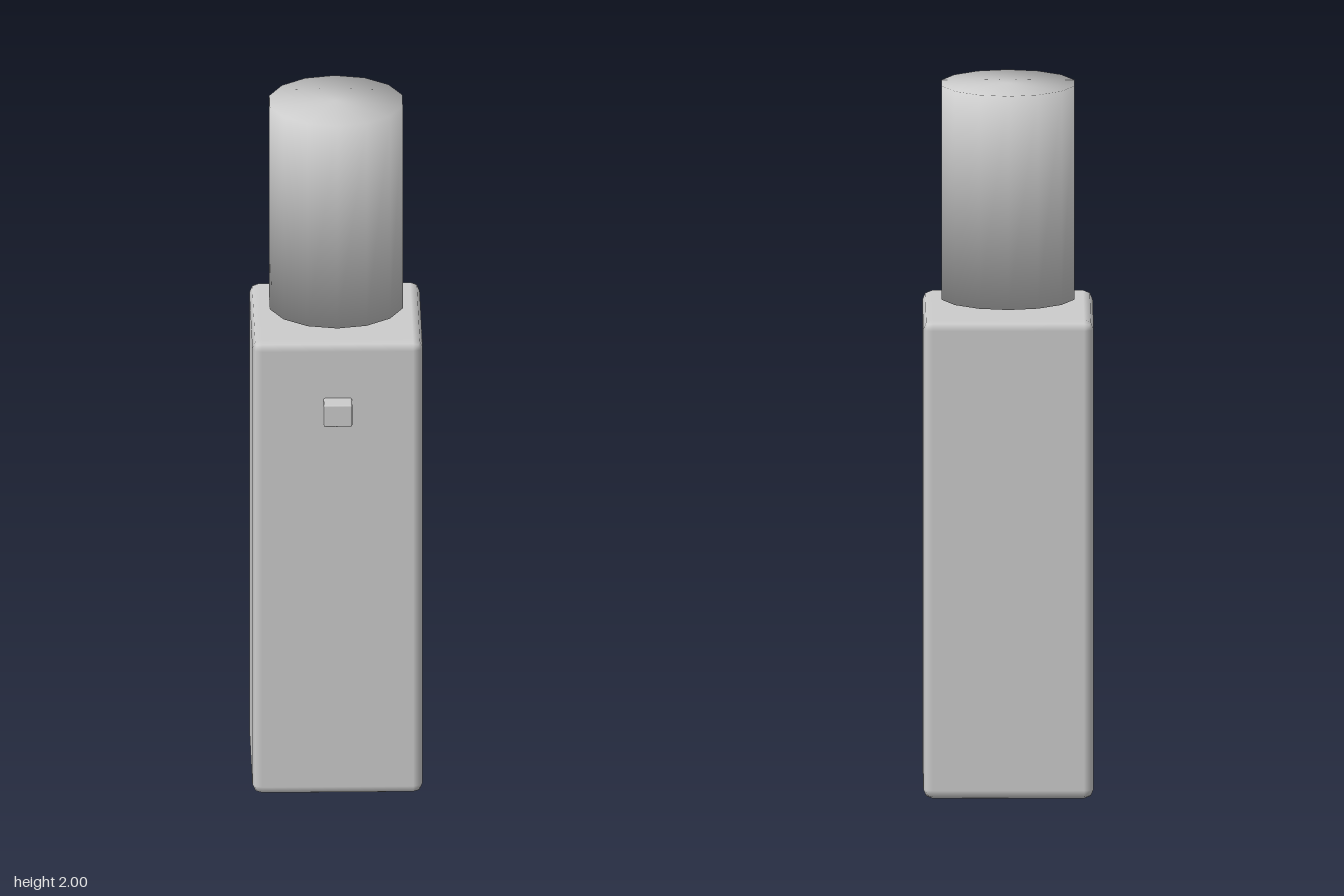
import * as THREE from 'three';
import { RoundedBoxGeometry } from 'three/addons/geometries/RoundedBoxGeometry.js';

export function createModel() {
  const group = new THREE.Group();
  const grey = new THREE.MeshStandardMaterial({ color: 0xcccccc });
  grey.name = 'plain grey';

  const add = (name, geometry, x, y, z) => {
    const mesh = new THREE.Mesh(geometry, grey);
    mesh.name = name;
    mesh.position.set(x, y, z);
    group.add(mesh);
  };

  // Tall body with softly bevelled edges
  add('body', new RoundedBoxGeometry(0.477, 1.366, 0.477, 1, 0.027), 0, 0.683, -0.029);

  // Small button on the front face
  add('button', new RoundedBoxGeometry(0.08, 0.066, 0.08, 1, 0.005), 0, 1.166, 0.225);

  // Fourteen-sided cap floating above the body, shaded smoothly over its rims
  const radius = 0.191, height = 0.61;
  const cap = new THREE.CylinderGeometry(radius, radius, height, 14);
  const position = cap.attributes.position;
  const normal = new THREE.Vector3();
  for (let i = 0; i < position.count; i++) {
    normal.set(position.getX(i) / radius, Math.sign(position.getY(i)), position.getZ(i) / radius).normalize();
    cap.attributes.normal.setXYZ(i, normal.x, normal.y, normal.z);
  }
  add('cap', cap, 0, 2 - height / 2, -0.029);

  return group;
}
